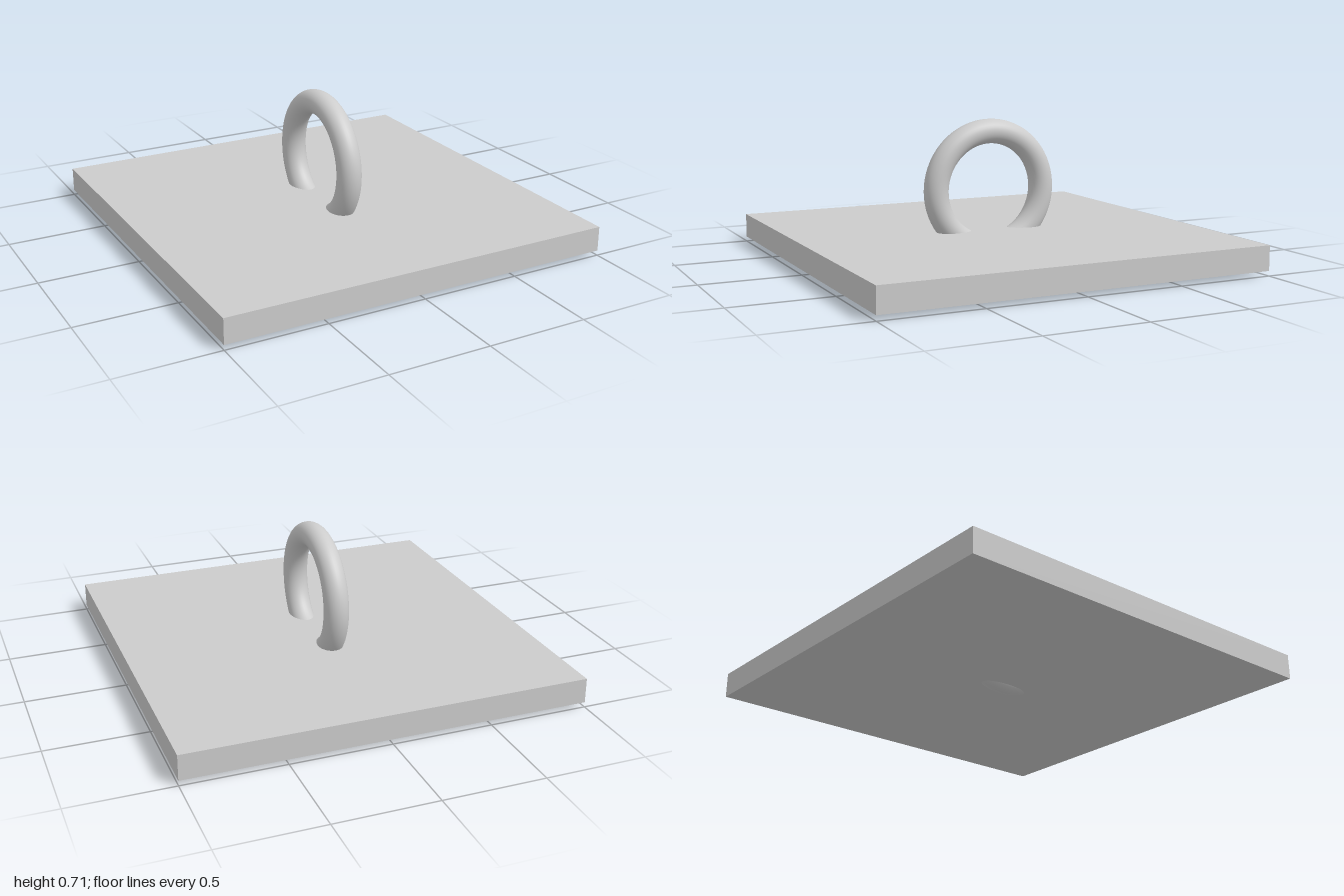
import * as THREE from 'three';

export function createModel() {
  const model = new THREE.Group();
  const grey = new THREE.MeshStandardMaterial({ color: 0xcccccc });
  grey.name = 'light grey';

  const addPart = (name, geometry, y) => {
    const mesh = new THREE.Mesh(geometry, grey);
    mesh.name = name;
    mesh.position.y = y;
    model.add(mesh);
    return mesh;
  };

  // Square base plate
  const thickness = 0.125;
  addPart('basePlate', new THREE.BoxGeometry(2, thickness, 2), 0.025 + thickness / 2);

  // Upright ring passing through the plate and just showing beneath it
  const ringRadius = 0.295;
  const tubeRadius = 0.0625;
  const ring = addPart('ring', new THREE.TorusGeometry(ringRadius, tubeRadius, 32, 96), ringRadius + tubeRadius);
  ring.rotation.y = Math.PI / 2;

  return model;
}
